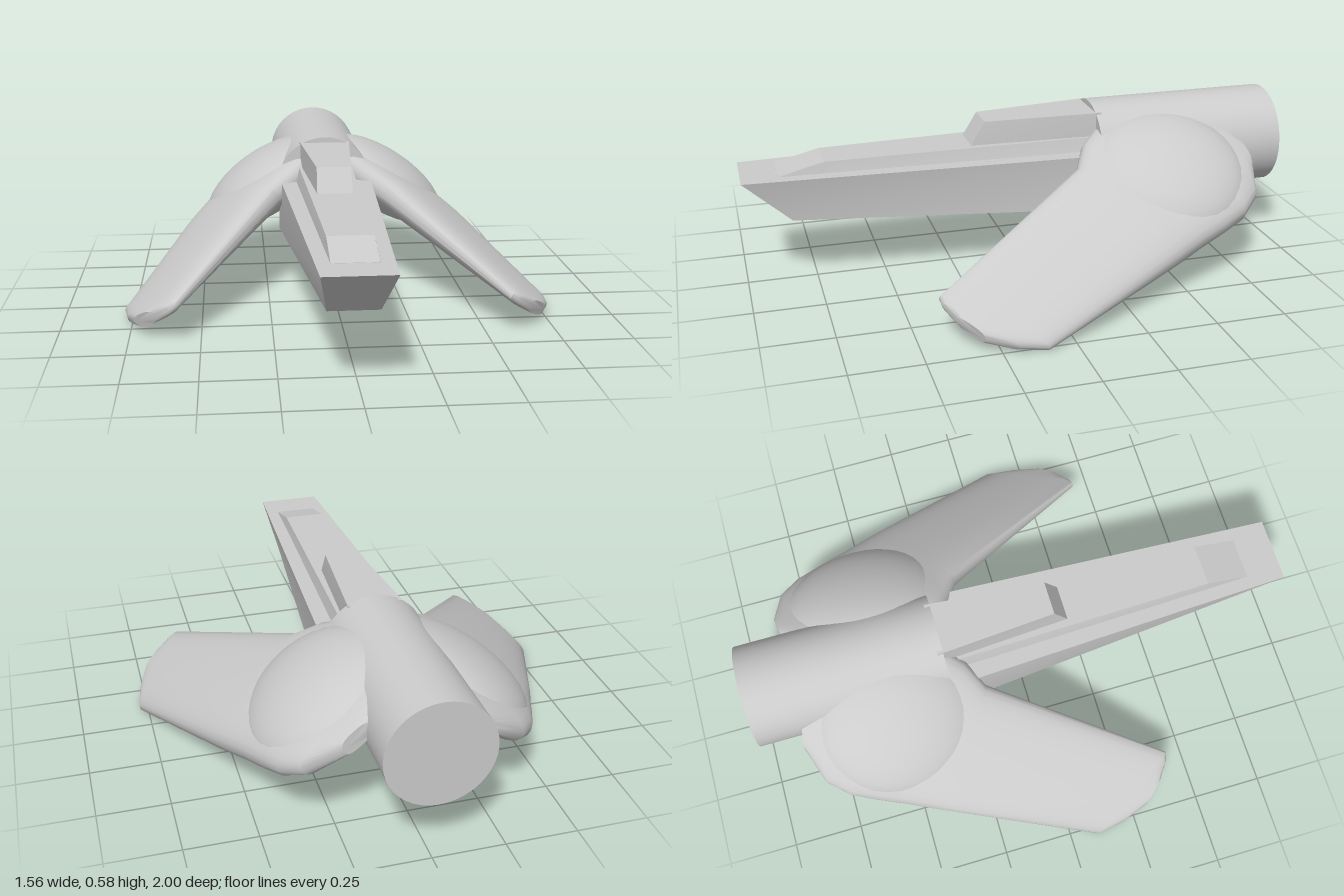
import * as THREE from 'three';
import { toCreasedNormals } from 'three/addons/utils/BufferGeometryUtils.js';

const material = new THREE.MeshStandardMaterial({ color: 0xcccccc });
const AXIS = -0.016; // centre line of the fuselage
const ROLL = 0.57; // downward slope of the wings

function addMesh(parent, name, geometry) {
  const mesh = new THREE.Mesh(geometry, material);
  mesh.name = name;
  parent.add(mesh);
  return mesh;
}

// Box with free ends; each corner is [halfWidth, y, z]
function taperedBlock(backBottom, backTop, frontBottom, frontTop) {
  const geo = new THREE.BoxGeometry(1, 1, 1);
  const p = geo.attributes.position;
  for (let i = 0; i < p.count; i++) {
    const top = p.getY(i) > 0;
    const c = p.getZ(i) > 0 ? (top ? frontTop : frontBottom) : (top ? backTop : backBottom);
    p.setXYZ(i, AXIS + Math.sign(p.getX(i)) * c[0], c[1], c[2]);
  }
  geo.computeVertexNormals();
  return geo;
}

// Wing stations: outer x, z, inner x, z, half thickness
const STATIONS = [
  [0.25, -0.85, 0.15, -0.83, 0.035],
  [0.37, -0.81, 0.05, -0.75, 0.06],
  [0.43, -0.74, 0.01, -0.62, 0.075],
  [0.47, -0.65, 0.01, -0.45, 0.083],
  [0.51, -0.55, 0.05, -0.3, 0.086],
  [0.545, -0.47, 0.12, -0.22, 0.086],
  [0.57, -0.41, 0.21, -0.17, 0.083],
  [0.78, 0.1, 0.58, 0.42, 0.036],
  [0.765, 0.2, 0.605, 0.415, 0.032],
  [0.73, 0.3, 0.655, 0.38, 0.028],
];

function wingGeometry(side) {
  const n = 28, pos = [], index = [];
  const planeY = (x) => 0.51 - Math.tan(ROLL) * x;
  const soft = (v) => Math.sign(v) * Math.abs(v) ** 0.75;
  for (const [ox, oz, ix, iz, t] of STATIONS) {
    for (let j = 0; j < n; j++) {
      const a = (j / n) * Math.PI * 2;
      const h = soft(Math.cos(a)) / 2, w = soft(Math.sin(a)) * t;
      const x = (ox + ix) / 2 + (ox - ix) * h;
      const z = (oz + iz) / 2 + (oz - iz) * h;
      pos.push(side * (x + w * Math.sin(ROLL) * 0.6), planeY(x) + w * Math.cos(ROLL), z);
    }
  }
  const tri = (a, b, c) => (side > 0 ? index.push(a, b, c) : index.push(a, c, b));
  const last = STATIONS.length - 1;
  for (let i = 0; i < last; i++) {
    for (let j = 0; j < n; j++) {
      const k = (j + 1) % n, a = i * n, b = a + n;
      tri(a + j, a + k, b + k);
      tri(a + j, b + k, b + j);
    }
  }
  // End caps
  for (let j = 1; j < n - 1; j++) {
    tri(0, j + 1, j);
    tri(last * n, last * n + j, last * n + j + 1);
  }
  const geo = new THREE.BufferGeometry();
  geo.setAttribute('position', new THREE.Float32BufferAttribute(pos, 3));
  geo.setIndex(index);
  return toCreasedNormals(geo, 0.7);
}

export function createModel() {
  const model = new THREE.Group();
  model.name = 'spacecraft';

  // Rear engine barrel
  const barrel = new THREE.CylinderGeometry(0.185, 0.185, 0.71, 40);
  barrel.rotateX(Math.PI / 2);
  barrel.translate(AXIS, 0.389, -0.645);
  addMesh(model, 'engineBarrel', barrel);

  // Long nose with raised deck and cabin
  addMesh(model, 'noseHull', taperedBlock(
    [0.18, 0.205, -0.31], [0.18, 0.415, -0.31], [0.085, 0.25, 0.83], [0.117, 0.415, 1]));
  addMesh(model, 'deckRear', taperedBlock(
    [0.12, 0.41, -0.31], [0.105, 0.465, -0.31], [0.083, 0.41, 0.71], [0.076, 0.456, 0.71]));
  addMesh(model, 'deckFront', taperedBlock(
    [0.083, 0.41, 0.71], [0.076, 0.456, 0.71], [0.078, 0.41, 0.87], [0.076, 0.416, 0.87]));
  addMesh(model, 'cabin', taperedBlock(
    [0.097, 0.45, -0.31], [0.097, 0.553, -0.31], [0.064, 0.455, 0.18], [0.062, 0.546, 0.125]));

  // Drooping wings with a domed hip
  for (const side of [1, -1]) {
    const prefix = side > 0 ? 'left' : 'right';
    const wing = new THREE.Group();
    wing.name = prefix + 'Wing';
    addMesh(wing, prefix + 'WingBlade', wingGeometry(side));
    const dome = addMesh(wing, prefix + 'WingDome', new THREE.SphereGeometry(1, 32, 20));
    dome.scale.set(0.28, 0.12, 0.3);
    dome.rotation.z = -side * ROLL;
    dome.position.set(side * 0.24, 0.355, -0.51);
    model.add(wing);
  }
  return model;
}
